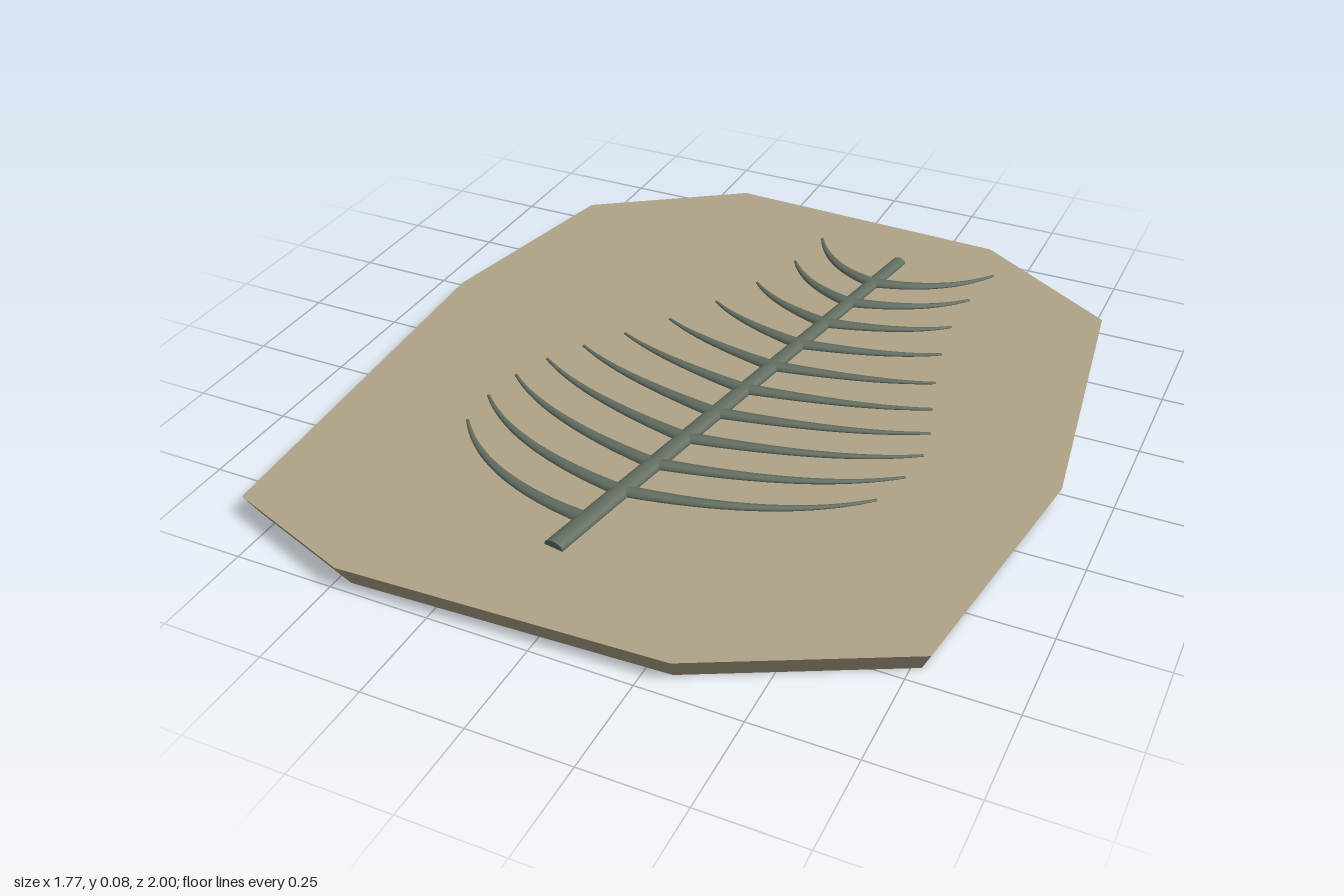
import * as THREE from 'three';
import { ConvexGeometry } from 'three/addons/geometries/ConvexGeometry.js';

const SLAB_TOP = 0.06;
const stone = new THREE.MeshStandardMaterial({ color: 0xb0a388 });
const bone = new THREE.MeshStandardMaterial({ color: 0x626d61 });

// Rough stone plate: ten-sided outline, sides leaning in towards the bottom
function makeSlab() {
  const outline = [
    [-0.39, -1], [0.39, -0.97], [0.78, -0.72], [0.885, 0.06], [0.795, 0.725],
    [0.32, 0.967], [-0.48, 1], [-0.825, 0.875], [-0.885, -0.175], [-0.78, -0.735],
  ];
  const points = [];
  for (const [x, z] of outline) {
    points.push(new THREE.Vector3(x, SLAB_TOP, z));
    points.push(new THREE.Vector3(x * 0.97, 0, z * 0.97));
  }
  const slab = new THREE.Mesh(new ConvexGeometry(points), stone);
  slab.name = 'stoneSlab';
  return slab;
}

// Flattened tube along a curve, narrowing from r0 to r1
function taperedTube(curve, r0, r1, segments) {
  const sides = 10;
  const geo = new THREE.TubeGeometry(curve, segments, 1, sides);
  const pos = geo.attributes.position;
  const p = new THREE.Vector3();
  const centre = new THREE.Vector3();
  for (let i = 0; i < pos.count; i++) {
    const t = Math.floor(i / (sides + 1)) / segments;
    curve.getPointAt(t, centre);
    const r = r0 + (r1 - r0) * t;
    p.fromBufferAttribute(pos, i).sub(centre).multiplyScalar(r);
    p.y *= 0.65;
    p.add(centre);
    pos.setXYZ(i, p.x, p.y, p.z);
  }
  geo.computeVertexNormals();
  return geo;
}

// Straight spine with closed ends, half sunk in the slab
function makeSpine() {
  const tail = new THREE.Vector3(0.178, 0.062, -0.793);
  const head = new THREE.Vector3(-0.08, 0.062, 0.74);
  const dir = head.clone().sub(tail);
  const geo = new THREE.CylinderGeometry(0.026, 0.019, dir.length(), 14);
  geo.rotateX(Math.PI / 2);
  geo.scale(1, 0.6, 1);
  geo.rotateY(Math.atan2(dir.x, dir.z));
  const spine = new THREE.Mesh(geo, bone);
  spine.position.copy(tail).add(head).multiplyScalar(0.5);
  spine.name = 'spine';
  return spine;
}

// One rib, swept back from the spine to its pointed tip
function makeRib(root, tipX, tipZ, t, name) {
  const lift = 0.1 + 0.3 * Math.sin(Math.PI * (0.1 + 0.85 * t));
  const y = SLAB_TOP + 0.002;
  const curve = new THREE.QuadraticBezierCurve3(
    new THREE.Vector3(root[0], y, root[1]),
    new THREE.Vector3(root[0] + (tipX - root[0]) * 0.68, y, root[1] + (tipZ - root[1]) * lift),
    new THREE.Vector3(tipX, y, tipZ)
  );
  const rib = new THREE.Mesh(taperedTube(curve, 0.02, 0.004, 20), bone);
  rib.name = name;
  return rib;
}

export function createModel() {
  const group = new THREE.Group();
  group.name = 'fossilSlab';
  group.add(makeSlab(), makeSpine());

  // Tip positions of each rib row, from tail to head
  const tipZ = [-0.825, -0.67, -0.515, -0.375, -0.24, -0.125, -0.025, 0.07, 0.17, 0.28, 0.395];
  const rightX = [-0.07, -0.09, -0.14, -0.2, -0.275, -0.35, -0.42, -0.475, -0.51, -0.525, -0.515];
  const leftX = [0.445, 0.425, 0.425, 0.445, 0.475, 0.505, 0.535, 0.55, 0.54, 0.51];
  const ribs = new THREE.Group();
  ribs.name = 'ribs';
  tipZ.forEach((z, i) => {
    const t = i / (tipZ.length - 1);
    const rootZ = -0.645 + 1.265 * t;
    const root = [0.044 - 0.168 * rootZ, rootZ];
    ribs.add(makeRib(root, rightX[i], z, t, 'rightRib' + (i + 1)));
    // The last row has a rib on one side only
    if (i < leftX.length) ribs.add(makeRib(root, leftX[i], z, t, 'leftRib' + (i + 1)));
  });
  group.add(ribs);
  return group;
}
